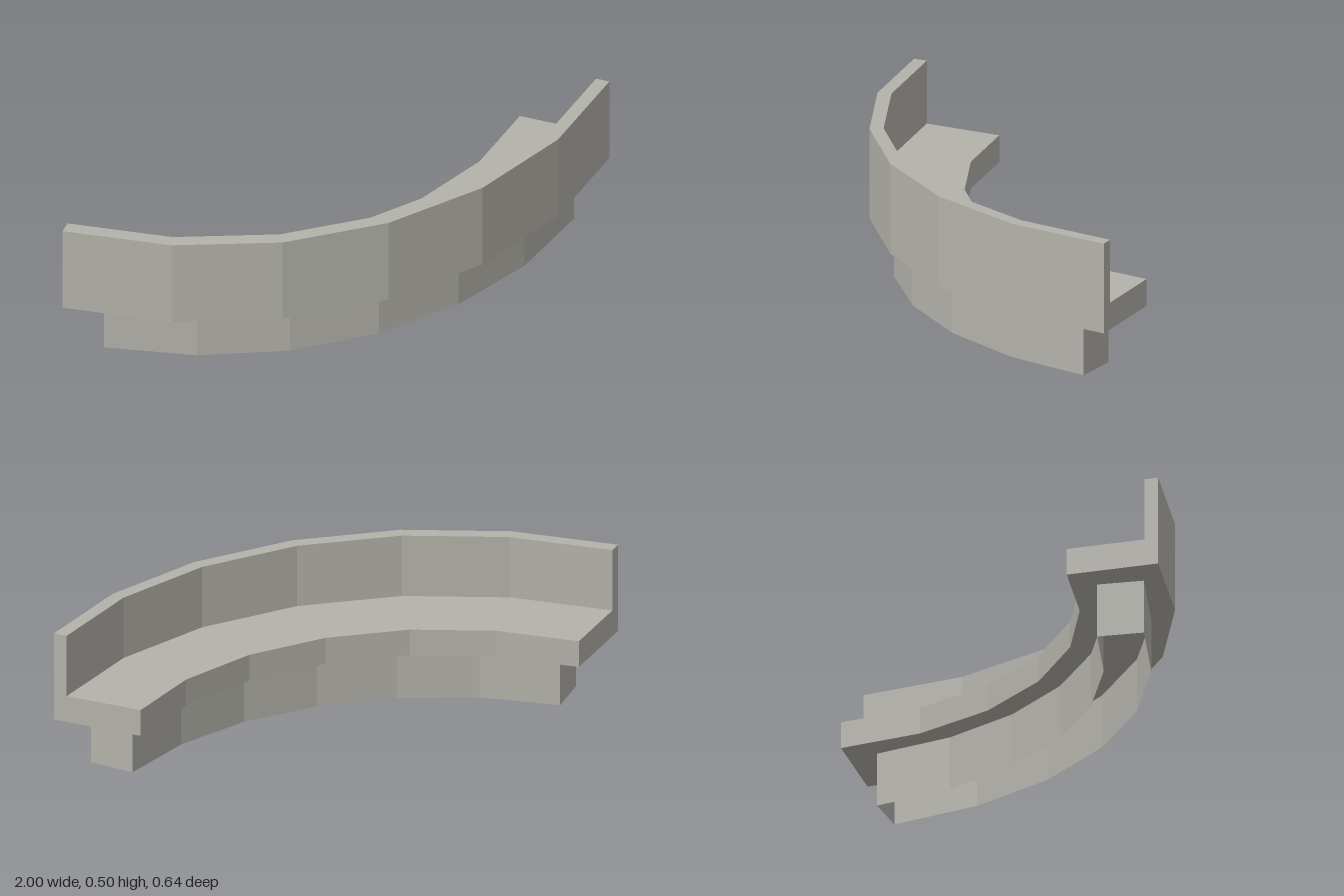
import * as THREE from 'three';

const CENTRE_Z = -1.095; // centre of the arc
const SEGMENTS = 6;

// Sweeps a counter-clockwise (radius, height) profile around the arc centre,
// leaving out the profile edges listed in openEdges, and caps both ends.
function sweepArc(profile, halfAngle, openEdges = []) {
  const positions = [];
  const point = ([r, y], a) => [r * Math.sin(a), y, CENTRE_Z + r * Math.cos(a)];
  const tri = (a, b, c) => positions.push(...a, ...b, ...c);

  for (let s = 0; s < SEGMENTS; s++) {
    const a0 = -halfAngle + (2 * halfAngle * s) / SEGMENTS;
    const a1 = -halfAngle + (2 * halfAngle * (s + 1)) / SEGMENTS;
    profile.forEach((p, i) => {
      if (openEdges.includes(i)) return;
      const q = profile[(i + 1) % profile.length];
      tri(point(p, a0), point(p, a1), point(q, a1));
      tri(point(p, a0), point(q, a1), point(q, a0));
    });
  }

  // end caps
  const outline = profile.map(([r, y]) => new THREE.Vector2(r, y));
  for (const [i, j, k] of THREE.ShapeUtils.triangulateShape(outline, [])) {
    const [p, q, t] = [profile[i], profile[j], profile[k]];
    tri(point(p, -halfAngle), point(q, -halfAngle), point(t, -halfAngle));
    tri(point(p, halfAngle), point(t, halfAngle), point(q, halfAngle));
  }

  const geometry = new THREE.BufferGeometry();
  geometry.setAttribute('position', new THREE.Float32BufferAttribute(positions, 3));
  geometry.computeVertexNormals(); // unshared corners give flat facets
  return geometry;
}

export function createModel() {
  const group = new THREE.Group();
  group.name = 'curvedBalcony';

  const stone = new THREE.MeshStandardMaterial({ color: 0xb3b2aa, side: THREE.DoubleSide });
  stone.name = 'greyStone';

  const add = (name, geometry) => {
    const mesh = new THREE.Mesh(geometry, stone);
    mesh.name = name;
    group.add(mesh);
  };

  // L-shaped walkway: floor slab with a thin parapet on the outer edge
  add('walkwayAndParapet', sweepArc([
    [1.098, 0.19], [1.414, 0.19], [1.414, 0.504],
    [1.367, 0.504], [1.367, 0.284], [1.098, 0.284],
  ], Math.PI / 4));

  // Narrower hollow support below, open at the bottom and against the slab
  add('supportBase', sweepArc([
    [1.178, 0], [1.336, 0], [1.336, 0.19], [1.178, 0.19],
  ], (40 * Math.PI) / 180, [0, 2]));

  return group;
}
